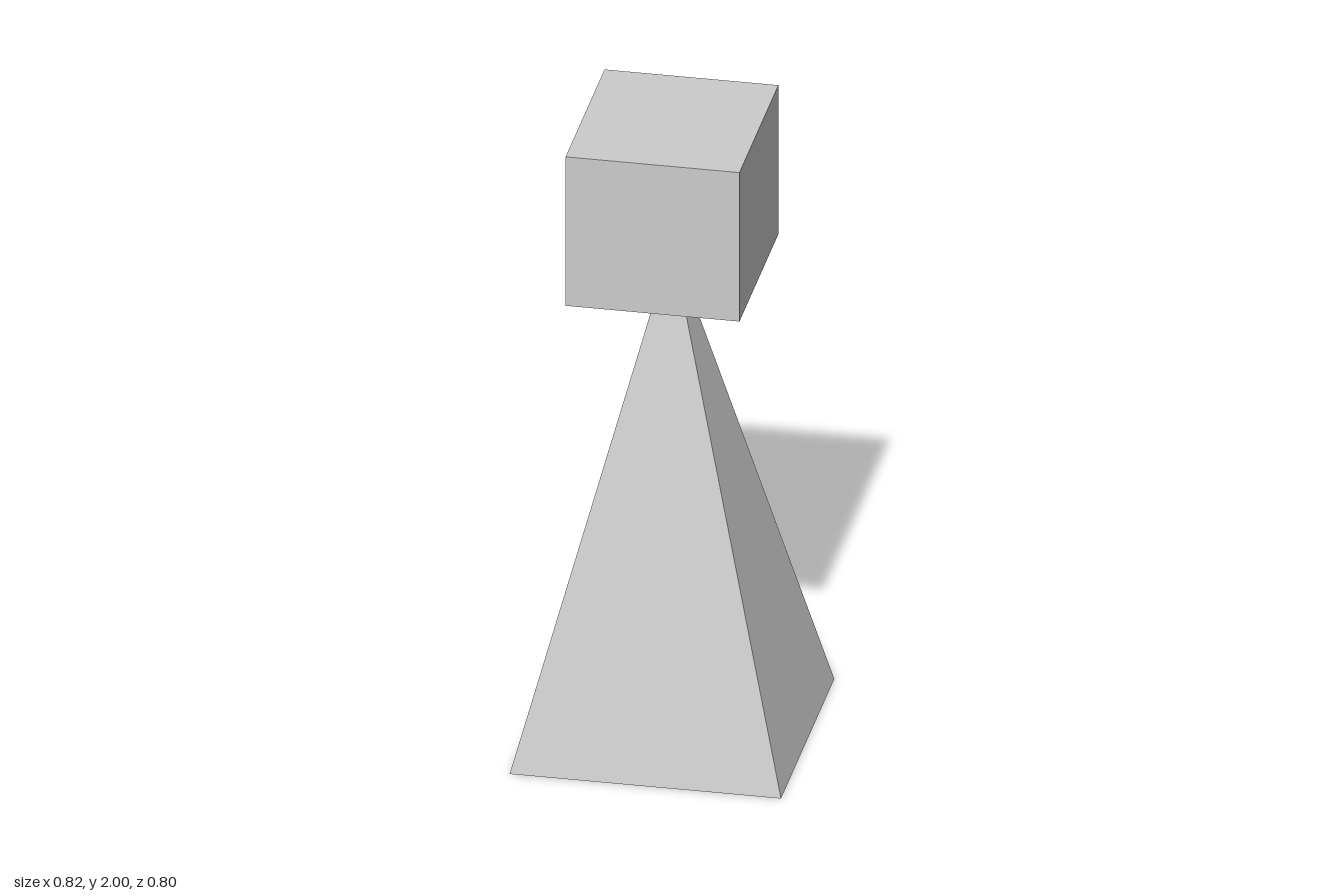
import * as THREE from 'three';

export function createModel() {
  const model = new THREE.Group();
  const material = new THREE.MeshStandardMaterial({ color: 0xcccccc, flatShading: true });

  function addPart(name, geometry, y) {
    const mesh = new THREE.Mesh(geometry, material);
    mesh.name = name;
    mesh.position.y = y;
    model.add(mesh);
  }

  // Four-sided pyramid body, its tip sunk into the head block
  const bodyHeight = 1.597;
  const body = new THREE.ConeGeometry(Math.SQRT2, bodyHeight, 4);
  body.rotateY(Math.PI / 4);
  body.scale(0.408, 1, 0.399);
  addPart('pyramidBody', body, bodyHeight / 2);

  // Head block
  const headBottom = 1.508;
  const headHeight = 2 - headBottom;
  addPart('headBlock', new THREE.BoxGeometry(0.523, headHeight, 0.583), headBottom + headHeight / 2);

  return model;
}
